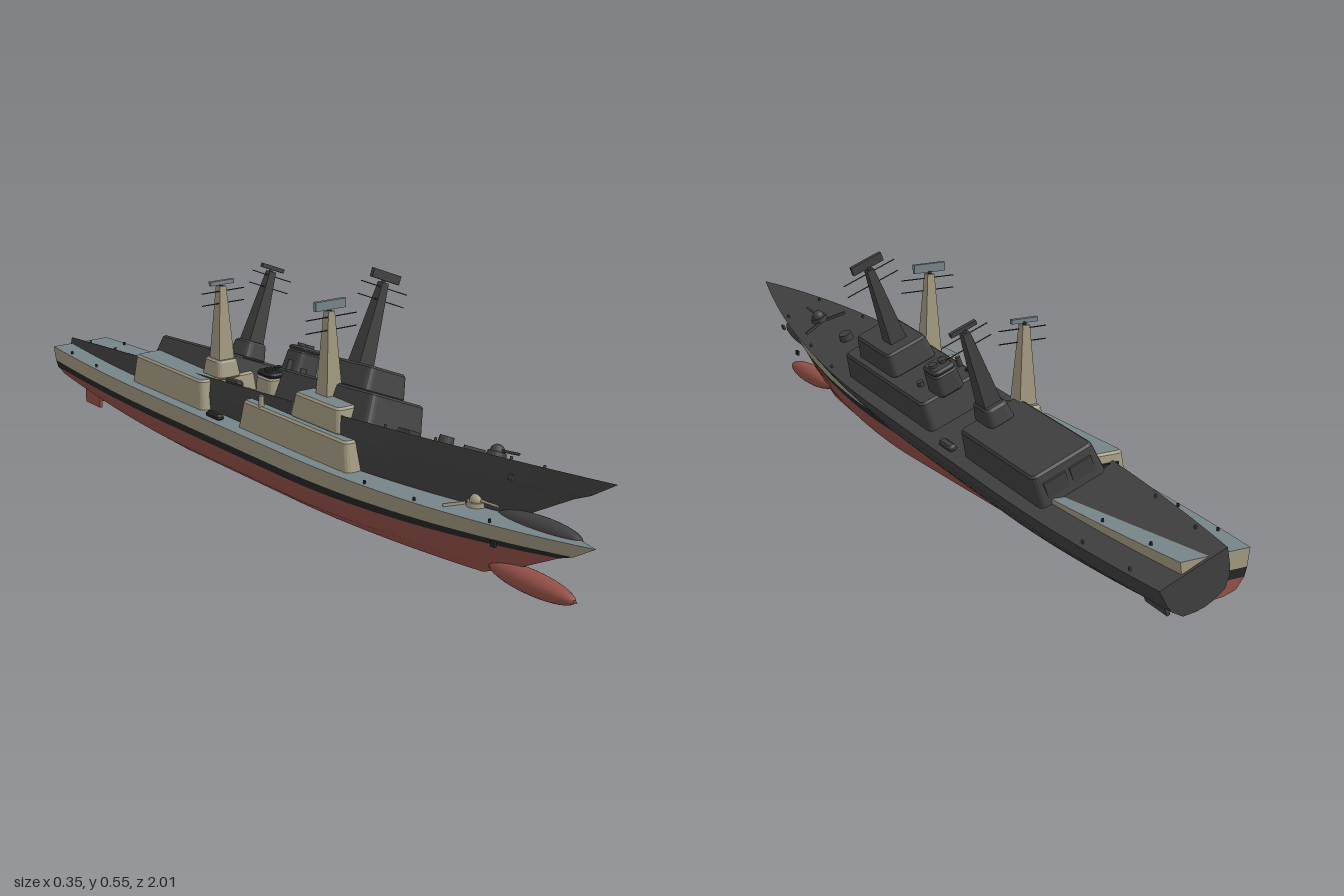
import * as THREE from 'three';

const mat = (name, color) => {
  const m = new THREE.MeshStandardMaterial({ color });
  m.name = name;
  return m;
};
const lerp = THREE.MathUtils.lerp;

// Hull lines from deck edge to keel: midship half width and height, stem z and y, stern width factor and y
const LINES = [
  { w: 0.115, y: 0.145, zs: 1.0, ys: 0.165, sw: 0.72, yt: 0.143, p: 2.3 },
  { w: 0.107, y: 0.102, zs: 0.94, ys: 0.13, sw: 0.72, yt: 0.104, p: 2.0 },
  { w: 0.099, y: 0.08, zs: 0.9, ys: 0.115, sw: 0.72, yt: 0.084, p: 1.9 },
  { w: 0.079, y: 0.03, zs: 0.78, ys: 0.055, sw: 0.65, yt: 0.06, p: 1.7 },
  { w: 0.036, y: 0.0, zs: 0.68, ys: 0.015, sw: 0.6, yt: 0.052, p: 1.6 },
  { w: 0.0, y: 0.0, zs: 0.68, ys: 0.015, sw: 1, yt: 0.05, p: 1 },
];

function hullPoint(line, t) {
  const fwd = Math.max(0, (t - 0.1) / 0.9), aft = Math.max(0, (-t - 0.4) / 0.6);
  return [
    line.w * (1 - Math.pow(fwd, line.p)) * lerp(1, line.sw, aft * aft),
    lerp(line.y, line.ys, fwd * fwd) + (line.yt - line.y) * Math.pow(aft, 1.3),
    t < 0.1 ? t : lerp(0.1, line.zs, fwd),
  ];
}

function indexed(pos, idx) {
  const g = new THREE.BufferGeometry();
  g.setAttribute('position', new THREE.Float32BufferAttribute(pos, 3));
  g.setIndex(idx);
  g.computeVertexNormals();
  return g;
}

// Smooth strip of hull plating over consecutive lines, on both sides
function hullBand(from, to) {
  const N = 40, rows = to - from + 1, pos = [], idx = [];
  for (const s of [1, -1]) {
    const base = pos.length / 3;
    for (let i = 0; i <= N; i++)
      for (let r = from; r <= to; r++) {
        const [x, y, z] = hullPoint(LINES[r], -1 + (2 * i) / N);
        pos.push(s * x, y, z);
      }
    for (let i = 0; i < N; i++)
      for (let r = 0; r < rows - 1; r++) {
        const a = base + i * rows + r, b = a + 1, c = a + rows, d = c + 1;
        if (s > 0) idx.push(a, c, b, c, d, b);
        else idx.push(a, b, c, c, b, d);
      }
  }
  return indexed(pos, idx);
}

// Flat surface between port and starboard points: deck from bow to stern, transom from top to bottom
function span(points) {
  const pos = [], idx = [];
  points.forEach(([x, y, z], i) => {
    pos.push(x, y, z, -x, y, z);
    if (i) {
      const a = 2 * i - 2;
      idx.push(a, a + 2, a + 1, a + 1, a + 2, a + 3);
    }
  });
  return indexed(pos, idx);
}

// Deckhouse block with rounded plan corners, chamfered roof edge and inward sloping walls
function block(hw, z0, z1, y0, y1, taper = 0.92, r = 0.012) {
  const c = 0.005, w = hw - c, l = (z1 - z0) / 2 - c, h = y1 - y0;
  const s = new THREE.Shape();
  s.moveTo(-w + r, -l);
  s.lineTo(w - r, -l); s.quadraticCurveTo(w, -l, w, -l + r);
  s.lineTo(w, l - r); s.quadraticCurveTo(w, l, w - r, l);
  s.lineTo(-w + r, l); s.quadraticCurveTo(-w, l, -w, l - r);
  s.lineTo(-w, -l + r); s.quadraticCurveTo(-w, -l, -w + r, -l);
  const g = new THREE.ExtrudeGeometry(s, {
    depth: h - 2 * c, bevelThickness: c, bevelSize: c, bevelSegments: 1, curveSegments: 4,
  });
  g.translate(0, 0, c).rotateX(-Math.PI / 2);
  const p = g.attributes.position;
  for (let i = 0; i < p.count; i++) {
    const k = lerp(1, taper, p.getY(i) / h);
    p.setX(i, p.getX(i) * k);
    p.setZ(i, p.getZ(i) * k);
  }
  g.computeVertexNormals();
  return g.translate(0, y0, (z0 + z1) / 2);
}

function buildShip(name, m) {
  const ship = new THREE.Group();
  ship.name = name;
  const add = (part, geo, material, x = 0, y = 0, z = 0, parent = ship) => {
    const mesh = new THREE.Mesh(geo, material);
    mesh.name = part;
    mesh.position.set(x, y, z);
    parent.add(mesh);
    return mesh;
  };
  const box = (w, h, d) => new THREE.BoxGeometry(w, h, d);
  const cyl = (a, b, h, n = 16) => new THREE.CylinderGeometry(a, b, h, n);
  const house = [m.deck, m.paint];

  // Hull plating, transom and deck
  [['topsides', 0, 1, m.paint], ['waterlineBand', 1, 2, m.black], ['underwaterHull', 2, 5, m.red]].forEach(([n, a, b, c]) => {
    add(n, hullBand(a, b), c);
    add(n + 'Transom', span(LINES.slice(a, b + 1).map((l) => hullPoint(l, -1))), c);
  });
  add('mainDeck', span(Array.from({ length: 41 }, (_, i) => hullPoint(LINES[0], 1 - i / 20))), m.deck);

  // Bow bulb, rudders and anchors
  add('bowBulb', new THREE.SphereGeometry(1, 24, 16).scale(0.027, 0.025, 0.125), m.red, 0, 0.04, 0.825);
  add('bowBulbTip', new THREE.ConeGeometry(0.008, 0.02, 12).rotateX(Math.PI / 2), m.red, 0, 0.04, 0.947);
  for (const s of [-1, 1]) {
    add('rudder', box(0.008, 0.065, 0.075), m.red, s * 0.035, 0.034, -0.87);
    add('anchor', box(0.006, 0.012, 0.012), m.black, s * 0.064, 0.122, 0.78);
  }

  // Superstructure
  add('forwardDeckhouse', block(0.085, -0.105, 0.33, 0.135, 0.213), house);
  add('bridge', block(0.062, 0.075, 0.265, 0.21, 0.27, 0.88), house);
  add('aftDeckhouse', block(0.085, -0.585, -0.25, 0.135, 0.216), house);
  add('aftMastHouse', block(0.034, -0.335, -0.25, 0.212, 0.257, 0.8), house);
  for (const s of [-1, 1]) add('hangarDoor', box(0.055, 0.05, 0.008), m.black, s * 0.033, 0.17, -0.577);

  // Funnel with dark cap and pipes
  add('funnel', block(0.034, -0.107, -0.035, 0.208, 0.264, 0.9), house);
  add('funnelCap', block(0.031, -0.105, -0.037, 0.262, 0.275, 0.95), m.black);
  for (const s of [-1, 1]) {
    add('funnelPipe', cyl(0.01, 0.01, 0.01), m.black, s * 0.013, 0.277, -0.071);
    add('roofVent', cyl(0.008, 0.008, 0.012, 12), m.paint, s * 0.034, 0.218, -0.01);
  }
  add('vent', cyl(0.006, 0.007, 0.03, 12), m.paint, -0.07, 0.222, -0.02);

  // Masts with yards and radar panels
  const mast = (n, z, y0, y1, yards, yardW, radarW, radarH) => {
    const g = new THREE.Group();
    g.name = n;
    g.position.z = z;
    ship.add(g);
    const tower = cyl(0.009 * Math.SQRT2, 0.022 * Math.SQRT2, y1 - y0, 4).rotateY(Math.PI / 4).toNonIndexed();
    tower.computeVertexNormals();
    add('mastTower', tower, m.paint, 0, (y0 + y1) / 2, 0, g);
    add('radarPost', cyl(0.005, 0.005, 0.014, 8), m.black, 0, y1, 0, g);
    add('radarPanel', box(radarW, radarH, 0.01), m.deck, 0, y1 + radarH / 2 + 0.004, 0.002, g);
    for (const y of yards)
      add('yard', cyl(0.0013, 0.0013, yardW, 6).rotateZ(Math.PI / 2), m.black, 0, y, 0.008, g);
  };
  mast('foremast', 0.147, 0.265, 0.462, [0.45, 0.42], 0.14, 0.082, 0.021);
  mast('aftMast', -0.29, 0.25, 0.436, [0.425, 0.395], 0.12, 0.066, 0.01);

  // Small boats amidships
  for (const s of [-1, 1])
    add('boat', block(0.011, -0.22, -0.16, 0.143, 0.158, 0.9, 0.004), m.black, s * 0.088);

  // Foredeck gun, launcher, hatch, breakwater and bollards
  add('gunBase', cyl(0.02, 0.022, 0.012, 20), m.paint, 0, 0.157, 0.655);
  add('gunTurret', new THREE.SphereGeometry(0.016, 16, 10), m.paint, 0, 0.163, 0.655);
  add('gunBarrel', cyl(0.003, 0.003, 0.055, 8).rotateX(Math.PI / 2 - 0.05), m.paint, 0, 0.168, 0.692);
  add('launcherBase', cyl(0.016, 0.018, 0.018, 16), m.paint, 0, 0.156, 0.495);
  add('foredeckHatch', box(0.03, 0.01, 0.04), m.paint, 0, 0.15, 0.37);
  for (const s of [-1, 1]) {
    add('breakwater', box(0.05, 0.009, 0.003), m.paint, s * 0.035, 0.154, 0.625).rotation.y = s * 0.3;
    for (const z of [-0.9, -0.75, 0.4, 0.55, 0.75]) {
      const [x, y, zz] = hullPoint(LINES[0], z);
      add('bollard', cyl(0.003, 0.003, 0.008, 8), m.black, s * (x - 0.012), y + 0.003, zz);
    }
  }
  return ship;
}

export function createModel() {
  const model = new THREE.Group();
  model.name = 'warships';
  const painted = {
    paint: mat('stonePaint', 0xa0987f), deck: mat('deckGrey', 0x768488),
    red: mat('hullRed', 0x935048), black: mat('bandBlack', 0x262626),
  };
  const dark = mat('charcoal', 0x404040);

  const lower = buildShip('paintedShip', painted);
  lower.position.x = -0.06;

  // Dark twin hull, heeled to port with the bow raised
  const upper = buildShip('darkShip', { paint: dark, deck: dark, red: dark, black: dark });
  upper.position.set(-0.058, 0.06, 0);
  upper.rotation.set(-0.066, 0, THREE.MathUtils.degToRad(-22));

  model.add(lower, upper);
  return model;
}
